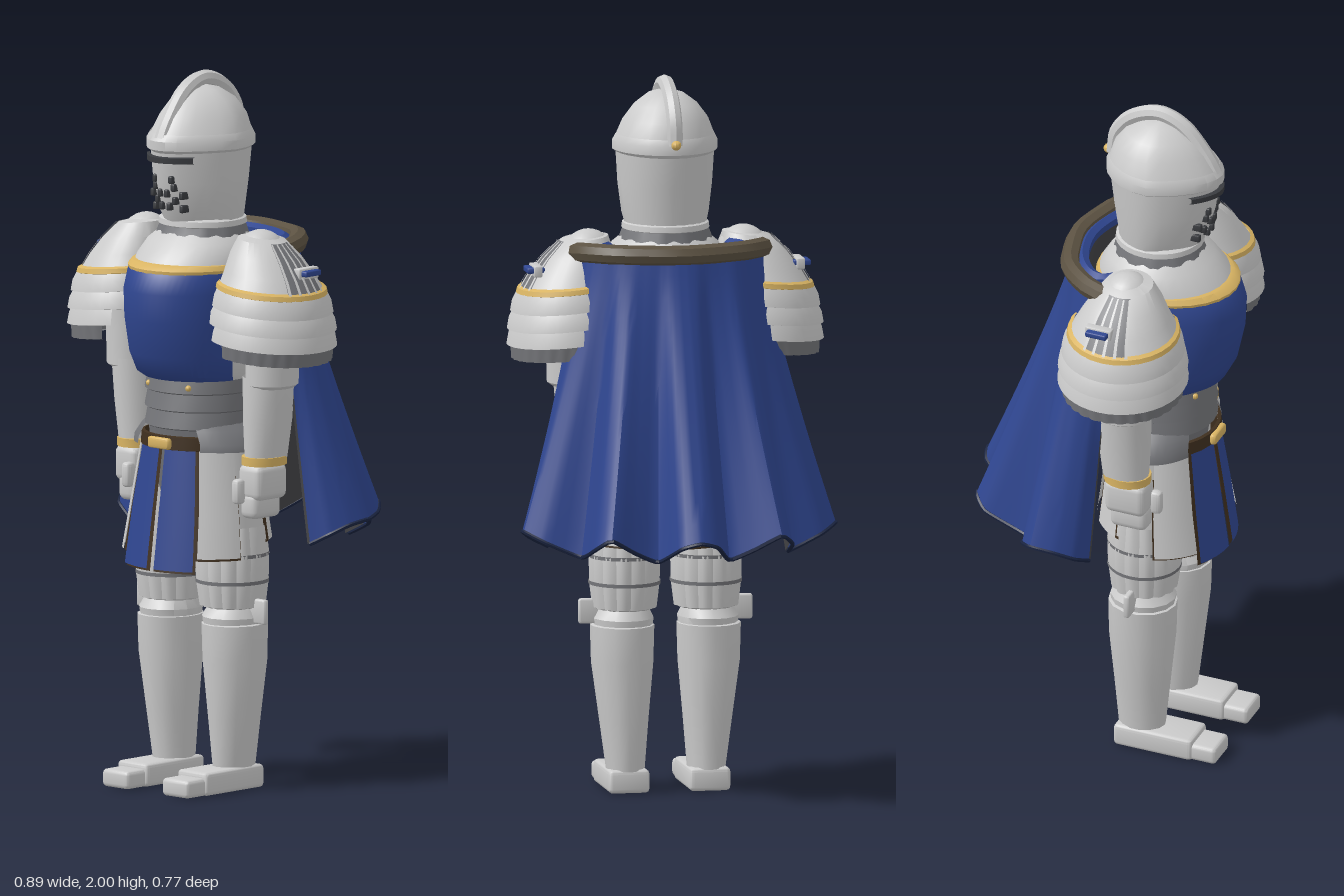
import * as THREE from 'three';
import { toCreasedNormals } from 'three/addons/utils/BufferGeometryUtils.js';
import { RoundedBoxGeometry } from 'three/addons/geometries/RoundedBoxGeometry.js';

const mat = color => new THREE.MeshStandardMaterial({ color, side: THREE.DoubleSide });
const STEEL = mat(0xcccccc), IRON = mat(0x747579), DARK = mat(0x3a3c40), BLUE = mat(0x2f4690);
const GOLD = mat(0xd9b463), FUR = mat(0x5c5242), LEATHER = mat(0x40301f);

// Grid surface: at(i, j) gives the point in column i of row j
function grid(cols, rows, at) {
  const pos = [], idx = [];
  for (let j = 0; j <= rows; j++) for (let i = 0; i <= cols; i++) pos.push(...at(i, j));
  for (let j = 0; j < rows; j++) for (let i = 0; i < cols; i++) {
    const a = j * (cols + 1) + i, b = a + 1, c = b + cols, d = c + 1;
    idx.push(a, b, d, a, d, c);
  }
  const g = new THREE.BufferGeometry();
  g.setAttribute('position', new THREE.Float32BufferAttribute(pos, 3));
  g.setIndex(idx);
  return g;
}

// Loft through elliptical rings [y, halfWidth, zFront, zBack, xCentre], listed upwards.
// Angle 0 is the front and PI/2 is +x; pinch narrows the front, rib makes pleats.
function loft(rings, { n = 28, a0 = -Math.PI, a1 = Math.PI, pinch = 0, rib = 0 } = {}) {
  return grid(n, rings.length - 1, (i, j) => {
    const [y, rx, zf, zb, cx = 0] = rings[j], a = a0 + (a1 - a0) * i / n;
    const k = rib && i % 3 === 0 ? 1 - rib : 1;
    return [cx + rx * k * Math.sin(a) * (1 - pinch * Math.max(0, Math.cos(a))), y,
      (zf + zb) / 2 + (zf - zb) / 2 * k * Math.cos(a)];
  });
}

const box = (w, h, d, x, y, z, r = 0.008) => new RoundedBoxGeometry(w, h, d, 2, r).translate(x, y, z);
const curve = (pts, tension = 0.5) =>
  new THREE.CatmullRomCurve3(pts.map(p => new THREE.Vector3(...p)), false, 'catmullrom', tension);

// Mirror a geometry in x, keeping its faces outward
function mirrored(geo) {
  const g = geo.index ? geo.toNonIndexed() : geo.clone();
  const p = g.attributes.position, v = i => [-p.getX(i), p.getY(i), p.getZ(i)];
  for (let i = 0; i < p.count; i += 3) {
    const [a, b, c] = [v(i), v(i + 1), v(i + 2)];
    p.setXYZ(i, ...a); p.setXYZ(i + 1, ...c); p.setXYZ(i + 2, ...b);
  }
  return g;
}

// Slope a shoulder layer down towards its outer side and flatten it against the torso
function sloped(g) {
  const p = g.attributes.position;
  for (let i = 0; i < p.count; i++) {
    const x = Math.max(p.getX(i), 0.155);
    p.setXY(i, x, p.getY(i) - 0.1 * (x - 0.3));
  }
  return g;
}

export function createModel() {
  const model = new THREE.Group();
  model.name = 'knight';
  const add = (name, geo, material = STEEL, parent = model) => {
    const m = new THREE.Mesh(toCreasedNormals(geo, 0.6), material);
    m.name = name;
    parent.add(m);
  };
  const pair = (name, geo, material) => {
    add('left ' + name, geo, material);
    add('right ' + name, mirrored(geo), material);
  };

  // Helmet
  const P = { pinch: 0.28, n: 24 };
  add('helmet face', loft([[1.57, 0.11, 0.25, 0.025], [1.62, 0.122, 0.278, 0.02], [1.7, 0.132, 0.3, 0.008],
    [1.8, 0.138, 0.313, -0.005]], P));
  add('helmet rim', loft([[1.785, 0.134, 0.31, -0.003], [1.795, 0.147, 0.325, -0.014], [1.82, 0.147, 0.325, -0.014],
    [1.838, 0.138, 0.312, -0.005]], P));
  add('helmet dome', loft([[1.83, 0.14, 0.312, -0.005], [1.88, 0.12, 0.28, 0.01], [1.92, 0.09, 0.245, 0.04],
    [1.95, 0.05, 0.195, 0.09], [1.963, 0.001, 0.146, 0.144]], P));
  add('helmet crest', new THREE.TubeGeometry(curve([[0, 1.82, 0.302], [0, 1.87, 0.275], [0, 1.945, 0.215], [0, 1.977, 0.14],
    [0, 1.95, 0.06], [0, 1.89, 0.01], [0, 1.82, -0.002]]), 30, 0.022, 8));
  add('helmet stud', new THREE.SphereGeometry(0.014, 10, 8).translate(0, 1.825, -0.018), GOLD);
  add('eye slit', loft([[1.758, 0.138, 0.312, 0], [1.76, 0.142, 0.325, -0.005], [1.775, 0.142, 0.325, -0.005],
    [1.777, 0.138, 0.312, 0]], { pinch: 0.28, n: 12, a0: -0.85, a1: 0.85 }), DARK);
  const breaths = new THREE.Group();
  breaths.name = 'breath holes';
  model.add(breaths);
  [[0.014, 1.635], [0.012, 1.672], [0.032, 1.652], [0.034, 1.69], [0.05, 1.63], [0.054, 1.668], [0.03, 1.712]].forEach(([x, y]) => {
    for (const s of [-1, 1]) add('breath hole', box(0.014, 0.022, 0.03, s * x, y, 0.29 - x * 0.35 + (y - 1.67) * 0.2, 0.004), DARK, breaths);
  });

  // Gorget
  add('gorget', loft([[1.53, 0.135, 0.275, 0.005], [1.56, 0.125, 0.26, 0.015], [1.59, 0.112, 0.25, 0.023]],
    { n: 36, rib: 0.035 }), IRON);
  add('gorget lip', loft([[1.57, 0.11, 0.25, 0.025], [1.575, 0.122, 0.262, 0.013], [1.59, 0.12, 0.26, 0.015],
    [1.597, 0.105, 0.245, 0.03]]));

  // Torso
  add('collar plate', loft([[1.45, 0.172, 0.355, -0.035], [1.49, 0.168, 0.33, -0.03], [1.53, 0.15, 0.29, -0.005],
    [1.555, 0.12, 0.26, 0.02]]));
  const chest = d => [[1.15, 0.15 + d, 0.3 + d, 0 - d], [1.165, 0.16 + d, 0.325 + d, -0.005 - d],
    [1.22, 0.169 + d, 0.354 + d, -0.02 - d], [1.32, 0.173 + d, 0.376 + d, -0.035 - d],
    [1.4, 0.173 + d, 0.38 + d, -0.036 - d], [1.455, 0.17 + d, 0.362 + d, -0.036 - d], [1.467, 0.165 + d, 0.347 + d, -0.03 - d]];
  add('torso plate', loft(chest(0)));
  add('surcoat', loft(chest(0.005), { a0: -1.4, a1: 1.4 }), BLUE);
  add('surcoat trim', loft([[1.455, 0.174, 0.366, -0.04], [1.465, 0.177, 0.367, -0.043], [1.478, 0.172, 0.35, -0.038],
    [1.48, 0.166, 0.335, -0.03]]), GOLD);
  for (let i = 0; i < 3; i++) {
    const y = 1.01 + i * 0.05;
    add('waist lame', loft([[y, 0.15, 0.29, 0.01], [y + 0.004, 0.156, 0.298, 0.002], [y + 0.055, 0.148, 0.287, 0.01]]), IRON);
  }
  pair('waist stud', new THREE.SphereGeometry(0.009, 8, 6).translate(0.075, 1.13, 0.274), GOLD);
  add('hips', loft([[0.72, 0.1, 0.22, 0.06], [0.85, 0.16, 0.25, 0.03], [1.02, 0.15, 0.28, 0.02]]), IRON);
  pair('hip guard', loft([[0.955, 0.21, 0.3, -0.01], [0.975, 0.207, 0.298, -0.01], [1.01, 0.175, 0.292, 0],
    [1.03, 0.15, 0.285, 0.01]], { a0: 0.6, a1: 2.6, n: 14 }), IRON);
  add('belt', loft([[0.955, 0.16, 0.3, 0], [0.957, 0.166, 0.309, -0.008], [0.993, 0.163, 0.307, -0.006], [0.995, 0.155, 0.298, 0]]), LEATHER);
  add('buckle', box(0.08, 0.032, 0.02, 0, 0.974, 0.311), GOLD);

  // Skirt panels hung from the belt, each on a dark backing that shows as its border
  const panel = (name, a0, a1, yBottom, material) => {
    const rings = d => [[yBottom - d, 0.222 - d, 0.35 - d, -0.03 + d], [0.78, 0.205 - d, 0.328 - d, -0.02 + d],
      [0.965, 0.172 - d, 0.3 - d, 0 + d]];
    pair(name, loft(rings(0), { a0, a1, n: 8 }), material);
    pair(name + ' border', loft(rings(0.007), { a0: a0 - 0.03, a1: a1 + 0.03, n: 8 }), LEATHER);
  };
  panel('tabard panel', 0.06, 0.62, 0.625, BLUE);
  panel('front tasset', 0.68, 1.3, 0.662, STEEL);
  panel('rear tasset', 1.95, 2.45, 0.7, STEEL);
  panel('back tasset', 2.7, 3.11, 0.7, STEEL);

  // Legs
  pair('thigh', loft([[0.62, 0.09, 0.235, 0.045, 0.115], [0.95, 0.08, 0.24, 0.04, 0.1]], { n: 20 }));
  pair('pleated breeches', loft([[0.51, 0.075, 0.215, 0.06, 0.115], [0.515, 0.09, 0.232, 0.045, 0.115],
    [0.58, 0.098, 0.242, 0.037, 0.115], [0.66, 0.1, 0.245, 0.035, 0.115], [0.74, 0.09, 0.235, 0.045, 0.115]],
    { n: 42, rib: 0.06 }));
  for (const y of [0.58, 0.655]) pair('breeches band',
    loft([[y, 0.1, 0.244, 0.035, 0.115], [y + 0.01, 0.1, 0.244, 0.035, 0.115]]), IRON);
  pair('knee', loft([[0.44, 0.08, 0.225, 0.05, 0.12], [0.485, 0.085, 0.232, 0.045, 0.12], [0.53, 0.062, 0.2, 0.075, 0.118]], { n: 14 }));
  pair('knee wing', box(0.08, 0.07, 0.018, 0.205, 0.505, 0.138, 0.006));
  pair('greave', loft([[0.06, 0.053, 0.2, 0.065, 0.114], [0.2, 0.068, 0.215, 0.055, 0.118], [0.36, 0.086, 0.232, 0.042, 0.122],
    [0.465, 0.089, 0.235, 0.04, 0.122], [0.47, 0.075, 0.22, 0.055, 0.122]], { n: 14 }));
  pair('shoe', box(0.115, 0.065, 0.235, 0.114, 0.0325, 0.185, 0.012));
  pair('toe cap', box(0.1, 0.05, 0.13, 0.114, 0.025, 0.307, 0.012));

  // Arms
  pair('upper arm', loft([[1.14, 0.055, 0.2, 0.07, 0.265], [1.15, 0.069, 0.215, 0.06, 0.265], [1.4, 0.075, 0.22, 0.06, 0.265]], { n: 16 }));
  pair('forearm', loft([[0.94, 0.052, 0.203, 0.07, 0.24], [1.05, 0.062, 0.21, 0.06, 0.245], [1.17, 0.068, 0.213, 0.058, 0.25]], { n: 16 }));
  pair('cuff', loft([[0.92, 0.045, 0.195, 0.085, 0.237], [0.922, 0.058, 0.208, 0.072, 0.237], [0.946, 0.058, 0.208, 0.072, 0.237],
    [0.948, 0.045, 0.195, 0.085, 0.237]], { n: 16 }), GOLD);
  pair('gauntlet', box(0.085, 0.1, 0.12, 0.236, 0.875, 0.145, 0.02));
  pair('fingers', box(0.065, 0.075, 0.11, 0.232, 0.81, 0.15, 0.02));
  pair('thumb', box(0.03, 0.07, 0.035, 0.21, 0.85, 0.215, 0.012));

  // Layered shoulder guards
  const disc = (y, r, cx = 0.268) => [y, r, 0.14 + r * 1.04, 0.14 - r * 1.04, cx];
  const layer = (name, rings, opts, material) => pair(name, sloped(loft(rings, opts)), material);
  const cap = d => [disc(1.42, 0.143 + d, 0.262), disc(1.46, 0.122 + d, 0.257), disc(1.505, 0.097 + d, 0.243),
    disc(1.545, 0.066 + d, 0.228)];
  pair('shoulder ball', new THREE.SphereGeometry(0.071, 20, 14).translate(0.218, 1.505, 0.133));
  layer('shoulder cap', [...cap(0), disc(1.56, 0.001, 0.22)]);
  layer('shoulder trim', [disc(1.408, 0.144, 0.265), disc(1.412, 0.153, 0.265), disc(1.425, 0.15, 0.264), disc(1.43, 0.14, 0.262)], {}, GOLD);
  [[1.36, 0.166, 0.148, 1], [1.312, 0.175, 0.156, 0.75], [1.268, 0.176, 0.162, 0.45]].forEach(([y, r, top, open]) =>
    layer('shoulder lame', [disc(y, r - 0.012), disc(y + 0.002, r), disc(y + 0.03, r - 0.005), disc(y + 0.055, top)],
      { a0: -open, a1: Math.PI + open }));
  layer('shoulder fringe', [disc(1.228, 0.152), disc(1.23, 0.163), disc(1.28, 0.166)],
    { n: 48, a0: -0.25, a1: Math.PI + 0.25, rib: 0.025 }, IRON);
  // Ribbed fan and badge on each shoulder
  layer('fan plate', cap(0.005), { a0: 1.12, a1: 2.02, n: 8 }, IRON);
  for (let i = 0; i < 5; i++) {
    const a = 1.12 + i * 0.21;
    layer('fan rib', cap(0.009), { a0: a, a1: a + 0.06, n: 2 });
  }
  pair('badge frame', box(0.024, 0.032, 0.078, 0.37, 1.468, 0.112, 0.004));
  pair('badge', box(0.05, 0.016, 0.062, 0.375, 1.47, 0.112, 0.004), BLUE);

  // Cape: surface between the collar line and a scalloped hem
  const full = (half, tension) => curve([...half.slice(1).reverse().map(([x, y, z]) => [-x, y, z]), ...half], tension);
  const collar = full([[0, 1.53, -0.103], [0.1, 1.53, -0.084], [0.185, 1.53, -0.05], [0.25, 1.525, 0.03], [0.262, 1.515, 0.1]]);
  const hem = full([[0, 0.765, -0.38], [0.05, 0.75, -0.362], [0.1, 0.7, -0.268], [0.17, 0.73, -0.285], [0.24, 0.77, -0.312],
    [0.278, 0.74, -0.27], [0.292, 0.7, -0.142], [0.39, 0.74, -0.112], [0.44, 0.765, -0.067], [0.43, 0.755, 0],
    [0.4, 0.73, 0.05], [0.345, 0.7, 0.07]], 0.25);
  const cols = 88, rows = 14;
  const cape = inset => grid(cols, rows, (i, j) => {
    const v = 1 - j / rows, t = collar.getPointAt(1 - i / cols), b = hem.getPoint(1 - i / cols);
    const w = Math.pow(v, 1.15), k = 1 - inset;
    return [(t.x + (b.x - t.x) * w) * k, t.y + (b.y - t.y) * v, 0.12 + (t.z + (b.z - t.z) * w - 0.12) * k];
  });
  add('cape', cape(0), BLUE);
  add('cape lining', cape(0.025), mat(0x454548));
  add('cape hem', new THREE.TubeGeometry(hem, 110, 0.006, 6), mat(0x1a2440));
  add('fur collar', new THREE.TubeGeometry(collar, 20, 0.028, 8), FUR);
  for (const s of [-1, 1]) add('fur collar end', new THREE.SphereGeometry(0.028, 8, 6).translate(s * 0.262, 1.515, 0.1), FUR);
  const inner = full([[0, 1.525, -0.072], [0.1, 1.525, -0.053], [0.17, 1.525, -0.012], [0.2, 1.525, 0.04], [0.17, 1.525, 0.09]]);
  add('inner collar', new THREE.TubeGeometry(inner, 30, 0.02, 6), BLUE);

  return model;
}
